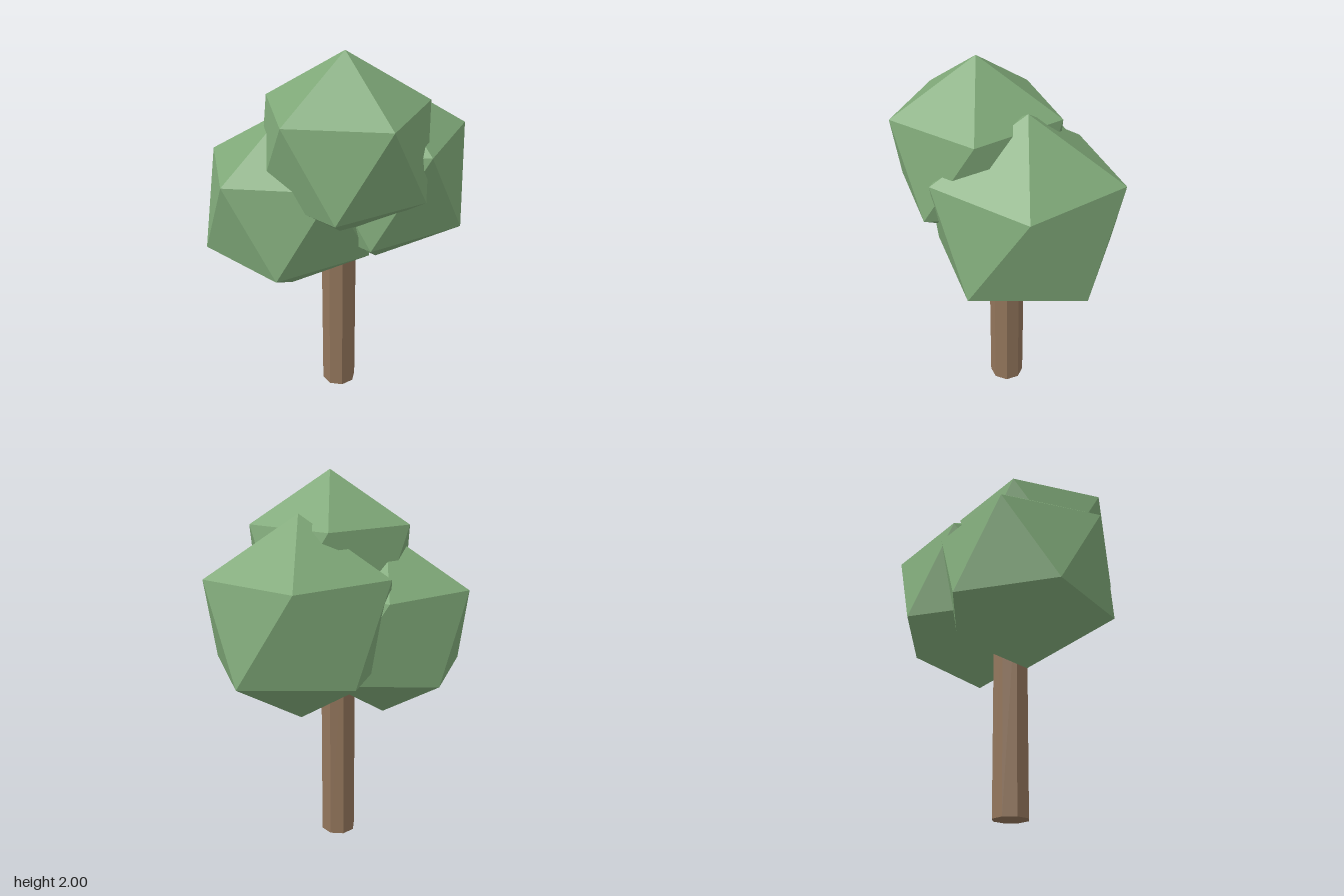
import * as THREE from 'three';
import { ConvexGeometry } from 'three/addons/geometries/ConvexGeometry.js';

const leafGreen = new THREE.MeshStandardMaterial({ color: 0x7fa878, flatShading: true });
leafGreen.name = 'leaf green';
const barkBrown = new THREE.MeshStandardMaterial({ color: 0x92755b, flatShading: true });
barkBrown.name = 'bark brown';

// Icosahedron standing on a point: two poles and two staggered rings of five
function icosahedronOnPoint(r) {
  const h = r / Math.sqrt(5);
  const points = [new THREE.Vector3(0, r, 0), new THREE.Vector3(0, -r, 0)];
  for (let i = 0; i < 5; i++) {
    const a = (i / 5) * Math.PI * 2;
    const x = 2 * h * Math.cos(a), z = 2 * h * Math.sin(a);
    points.push(new THREE.Vector3(x, h, z), new THREE.Vector3(-x, -h, -z));
  }
  return new ConvexGeometry(points);
}

export function createModel() {
  const tree = new THREE.Group();
  tree.name = 'tree';

  // Eight-sided trunk, its top hidden in the foliage
  const trunk = new THREE.Mesh(new THREE.CylinderGeometry(0.095, 0.095, 1.2, 8), barkBrown);
  trunk.name = 'trunk';
  trunk.position.set(-0.003, 0.6, -0.004);
  tree.add(trunk);

  // Three overlapping clumps of foliage: name, radius, centre
  const clumps = [
    ['leftFoliage', 0.532, 0.231, 1.278, -0.1],
    ['rightFoliage', 0.5, -0.261, 1.187, -0.01],
    ['topFoliage', 0.48, -0.003, 1.52, 0.14],
  ];
  for (const [name, r, x, y, z] of clumps) {
    const clump = new THREE.Mesh(icosahedronOnPoint(r), leafGreen);
    clump.name = name;
    clump.position.set(x, y, z);
    tree.add(clump);
  }
  return tree;
}
